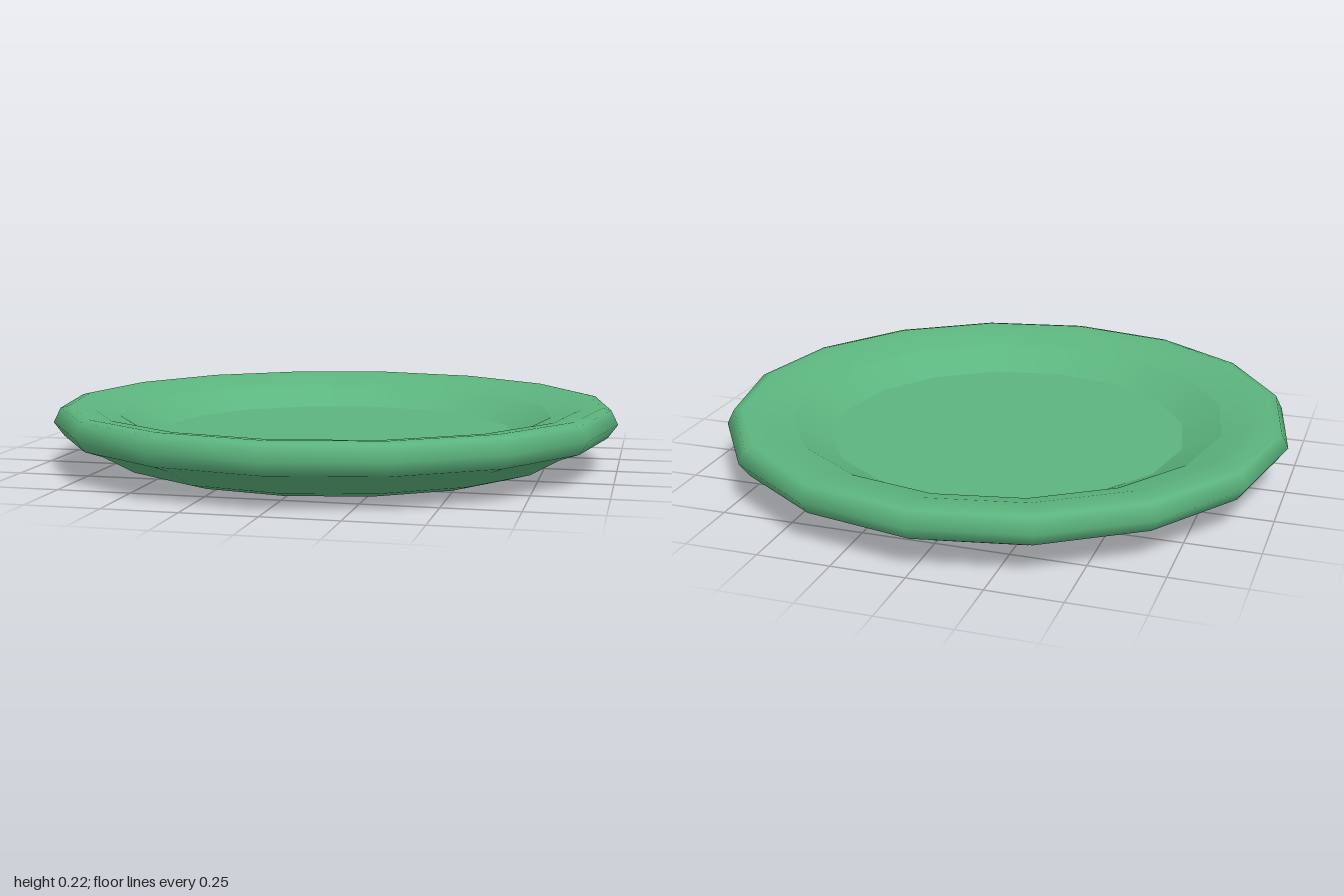
import * as THREE from 'three';

const SIDES = 16;

export function createModel() {
  const plate = new THREE.Group();
  plate.name = 'plate';
  const green = new THREE.MeshStandardMaterial({ color: 0x5cb57e });
  green.name = 'green glaze';

  // Each part is a turned profile of [radius, height]; separate parts keep the edges between them crisp.
  const turn = (name, profile) => {
    const points = profile.map(([r, y]) => new THREE.Vector2(r, y));
    const mesh = new THREE.Mesh(new THREE.LatheGeometry(points, SIDES), green);
    mesh.name = name;
    plate.add(mesh);
  };

  // Underside, outer wall and rolled rim, running from the base centre over the lip
  turn('undersideAndRim', [
    [0, 0], [0.66, 0], [0.71, 0.006], [0.79, 0.03], [0.9, 0.092], [0.965, 0.115],
    [1, 0.163], [0.975, 0.213], [0.945, 0.22], [0.87, 0.211], [0.77, 0.182],
  ]);

  // Sloping inner wall of the well
  turn('wellWall', [[0.77, 0.182], [0.635, 0.112]]);

  // Flat eating surface
  turn('wellFloor', [[0.635, 0.112], [0, 0.112]]);

  return plate;
}
